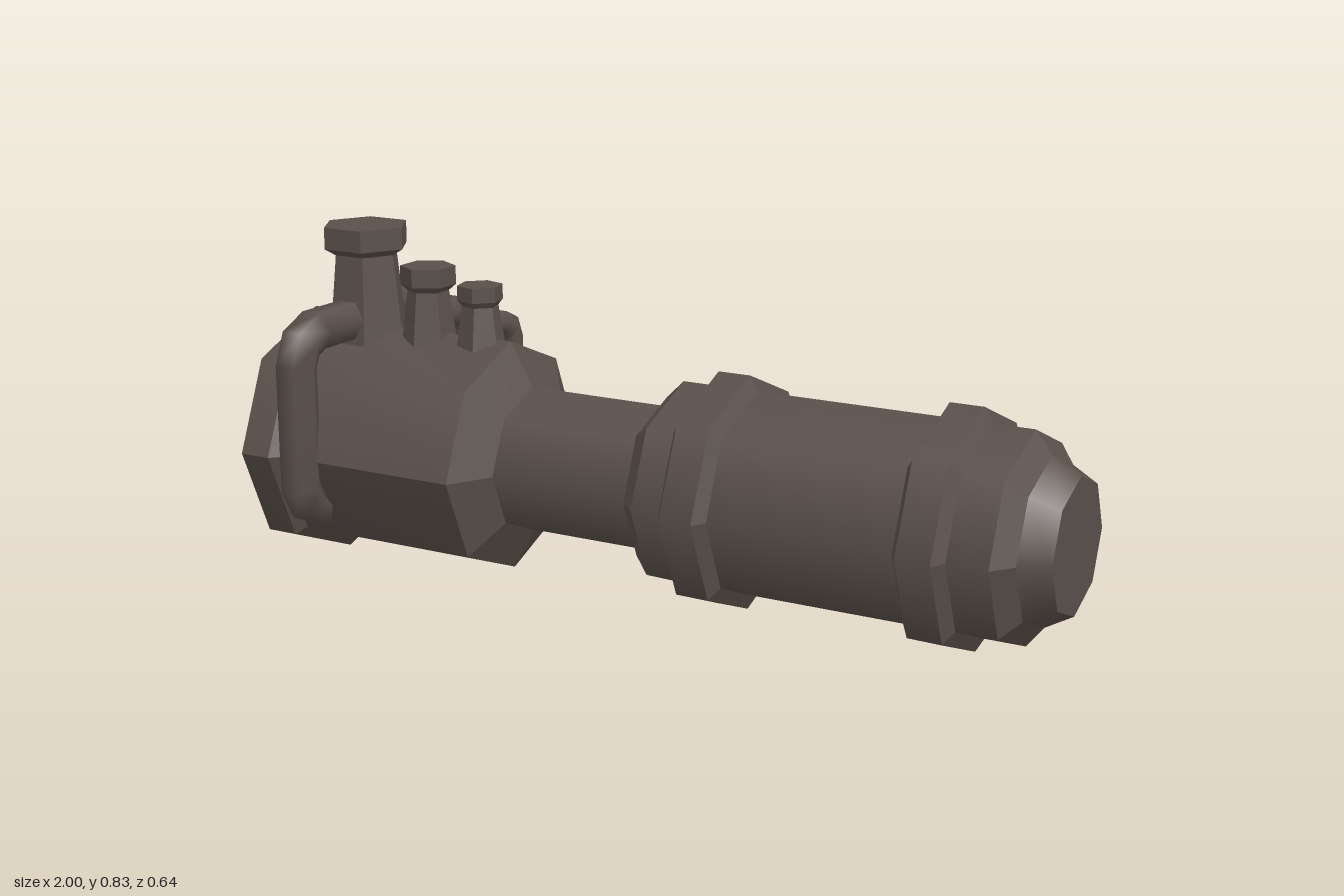
import * as THREE from 'three';

const metal = new THREE.MeshStandardMaterial({ color: 0x5a504b });
metal.name = 'dark metal';
const flatMetal = metal.clone(); // same colour, faceted
flatMetal.flatShading = true;

const AXIS_Y = 0.307, AXIS_Z = -0.01;

function add(parent, name, geometry, material = metal) {
  const mesh = new THREE.Mesh(geometry, material);
  mesh.name = name;
  parent.add(mesh);
  return mesh;
}

// Eight-sided band lying along x; split bands have a crease at mid height
function band(parent, name, [x0, r0], [x1, r1], style) {
  const halves = style === 'split' ? 2 : 1;
  for (let h = 0; h < halves; h++) {
    const g = new THREE.CylinderGeometry(r1, r0, x1 - x0, 8 / halves, 1, true, h * Math.PI, 2 * Math.PI / halves);
    if (halves === 2) g.computeVertexNormals();
    g.rotateZ(-Math.PI / 2);
    g.translate((x0 + x1) / 2, AXIS_Y, AXIS_Z);
    add(parent, name, g, style === 'flat' ? flatMetal : metal);
  }
}

function endCap(parent, name, x, r) {
  const g = new THREE.CircleGeometry(r, 8);
  g.rotateY(Math.sign(x) * Math.PI / 2);
  g.translate(x, AXIS_Y, AXIS_Z);
  add(parent, name, g);
}

// Hexagonal tube along a path of [z, y] points at fixed x, mitred at the bends
function pipe(parent, name, x, radius, path) {
  const sides = 6, pos = [], index = [];
  const pts = path.map(([z, y]) => new THREE.Vector2(z, y));
  pts.forEach((p, i) => {
    const before = p.clone().sub(pts[Math.max(i - 1, 0)]).normalize();
    const after = pts[Math.min(i + 1, pts.length - 1)].clone().sub(p).normalize();
    const t = before.clone().add(after).normalize();
    const mitre = radius / Math.max(t.dot(i ? before : after), 0.5);
    for (let j = 0; j < sides; j++) {
      const a = j / sides * Math.PI * 2;
      const s = Math.sin(a) * mitre;
      pos.push(x + Math.cos(a) * radius, p.y + s * t.x, p.x - s * t.y);
      if (i < pts.length - 1) {
        const a0 = i * sides + j, b0 = i * sides + (j + 1) % sides;
        index.push(a0, b0, b0 + sides, a0, b0 + sides, a0 + sides);
      }
    }
  });
  const g = new THREE.BufferGeometry();
  g.setAttribute('position', new THREE.Float32BufferAttribute(pos, 3));
  g.setIndex(index);
  g.computeVertexNormals();
  add(parent, name, g);
}

// Tapered hexagonal stem with a wider cap
function valve(parent, { x, turn, base, stemTop, capBottom, top, rBase, rTop, rCap }) {
  const group = new THREE.Group();
  group.name = 'valve';
  group.position.set(x, 0, AXIS_Z);
  group.rotation.y = turn;
  const piece = (name, y0, y1, r0, r1) => {
    const g = new THREE.CylinderGeometry(r1, r0, y1 - y0, 6);
    g.translate(0, (y0 + y1) / 2, 0);
    add(group, name, g, flatMetal);
  };
  piece('valveStem', base, stemTop, rBase, rTop);
  piece('valveCollar', stemTop, capBottom, rTop, rCap);
  piece('valveCap', capBottom, top, rCap, rCap);
  parent.add(group);
}

export function createModel() {
  const model = new THREE.Group();
  model.name = 'cylinderDevice';

  // Main barrel: [x, radius, style of the band that starts here]
  const profile = [
    [-1, 0.307, 'split'], [-0.92, 0.307, 'flat'], [-0.895, 0.282, 'split'],
    [-0.42, 0.282, 'flat'], [-0.36, 0.178, 'smooth'], [0.005, 0.178, 'flat'],
    [0.006, 0.2, 'flat'], [0.05, 0.243, 'smooth'], [0.12, 0.243, 'flat'],
    [0.14, 0.277, 'smooth'], [0.22, 0.277, 'flat'], [0.24, 0.243, 'smooth'],
    [0.68, 0.243, 'flat'], [0.7, 0.277, 'smooth'], [0.78, 0.277, 'flat'],
    [0.8, 0.243, 'smooth'], [0.895, 0.243, 'flat'], [0.935, 0.193, 'smooth'], [1, 0.156],
  ];
  const barrel = new THREE.Group();
  barrel.name = 'barrel';
  model.add(barrel);
  for (let i = 0; i < profile.length - 1; i++) {
    const [x] = profile[i];
    const name = x < -0.9 ? 'rearFlange' : x < -0.4 ? 'rearBody' : x < 0 ? 'neck' : x < 0.9 ? 'frontBody' : 'nozzle';
    band(barrel, name, profile[i], profile[i + 1], profile[i][2]);
  }
  endCap(barrel, 'rearCap', -1, 0.307);
  endCap(barrel, 'nozzleCap', 1, 0.156);

  // Valves on top
  valve(model, { x: -0.837, turn: Math.PI / 6, base: 0.54, stemTop: 0.765, capBottom: 0.782, top: 0.835, rBase: 0.104, rTop: 0.08, rCap: 0.108 });
  valve(model, { x: -0.655, turn: 0, base: 0.54, stemTop: 0.69, capBottom: 0.705, top: 0.75, rBase: 0.07, rTop: 0.05, rCap: 0.067 });
  valve(model, { x: -0.505, turn: 0.25, base: 0.54, stemTop: 0.668, capBottom: 0.682, top: 0.718, rBase: 0.064, rTop: 0.044, rCap: 0.055 });

  // Long pipe round the front, short pipes at the back
  pipe(model, 'frontPipe', -0.84, 0.051, [[-0.01, 0.612], [0.2, 0.612], [0.252, 0.589],
    [0.274, 0.535], [0.274, 0.245], [0.245, 0.195], [0.16, 0.165]]);
  for (const [x, r, drop, reach] of [[-0.84, 0.041, 0, 0], [-0.655, 0.038, 0.01, 0], [-0.505, 0.03, 0.02, 0.02]]) {
    pipe(model, 'backPipe', x, r, [[-0.01, 0.632 - drop], [-0.115 + reach, 0.632 - drop],
      [-0.15 + reach, 0.615 - drop], [-0.165 + reach, 0.578 - drop], [-0.165 + reach, 0.45]]);
  }
  return model;
}
